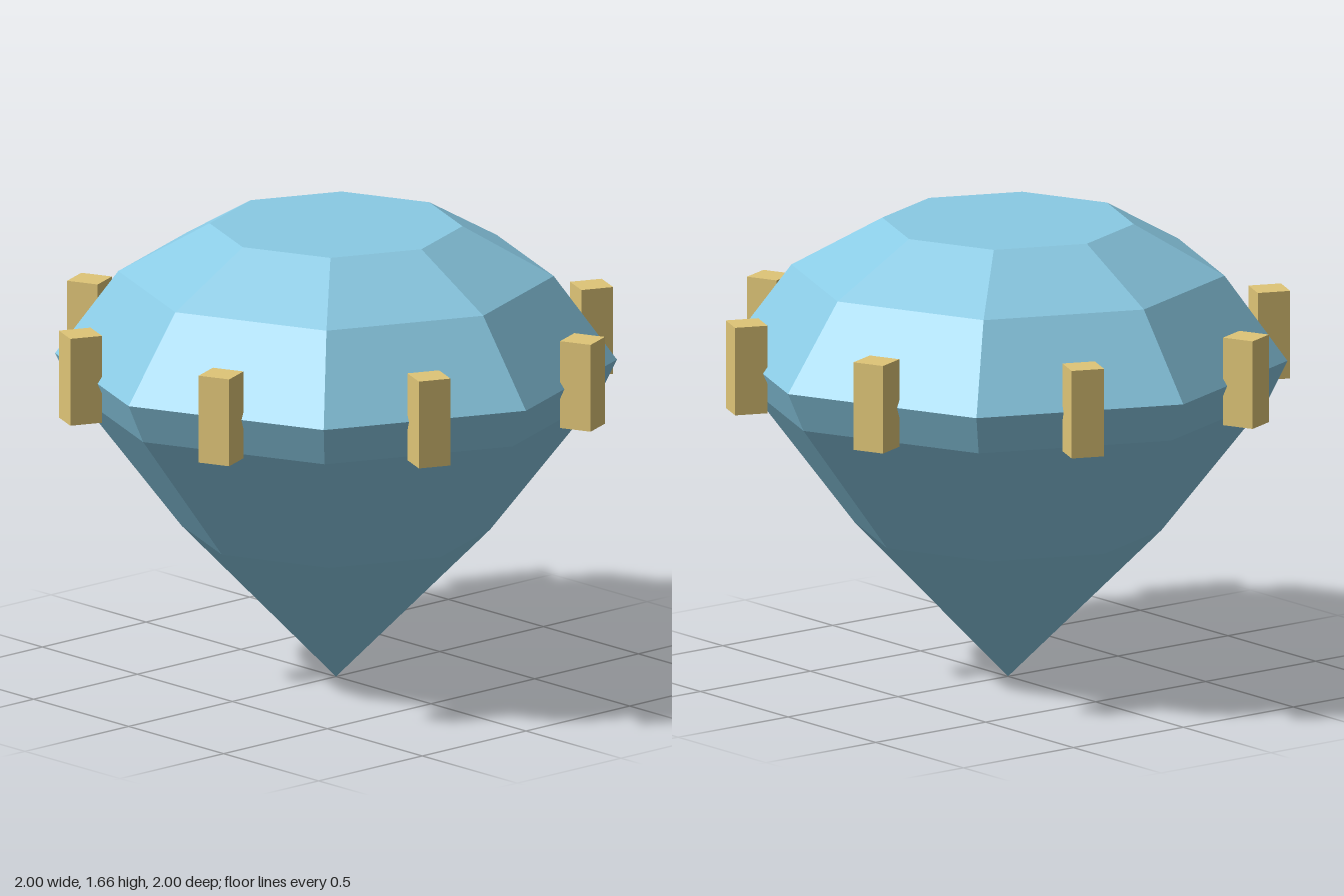
import * as THREE from 'three';

export function createModel() {
  const model = new THREE.Group();
  model.name = 'gem';

  const gemBlue = new THREE.MeshStandardMaterial({ color: 0x8acae4, flatShading: true });
  gemBlue.name = 'gemBlue';
  const paleGold = new THREE.MeshStandardMaterial({ color: 0xdfc577, flatShading: true });
  paleGold.name = 'paleGold';

  const SIDES = 8;

  // Eight-sided faceted stone: point, pavilion, girdle, crown, flat table
  const profile = [
    [0, 0], [0.55, 0.55], [0.93, 1.035], [1, 1.18],
    [0.775, 1.485], [0.45, 1.665], [0, 1.665],
  ].map(([r, y]) => new THREE.Vector2(r, y));
  const stone = new THREE.Mesh(new THREE.LatheGeometry(profile, SIDES), gemBlue);
  stone.name = 'stone';
  model.add(stone);

  // One square prong in the middle of each girdle edge, facing outwards
  const prongs = new THREE.Group();
  prongs.name = 'prongs';
  const prongShape = new THREE.BoxGeometry(0.12, 0.32, 0.12);
  for (let i = 0; i < SIDES; i++) {
    const angle = ((i + 0.5) / SIDES) * Math.PI * 2;
    const prong = new THREE.Mesh(prongShape, paleGold);
    prong.name = `prong${i + 1}`;
    prong.position.set(Math.sin(angle) * 0.967, 1.195, Math.cos(angle) * 0.967);
    prong.rotation.y = angle;
    prongs.add(prong);
  }
  model.add(prongs);

  return model;
}
